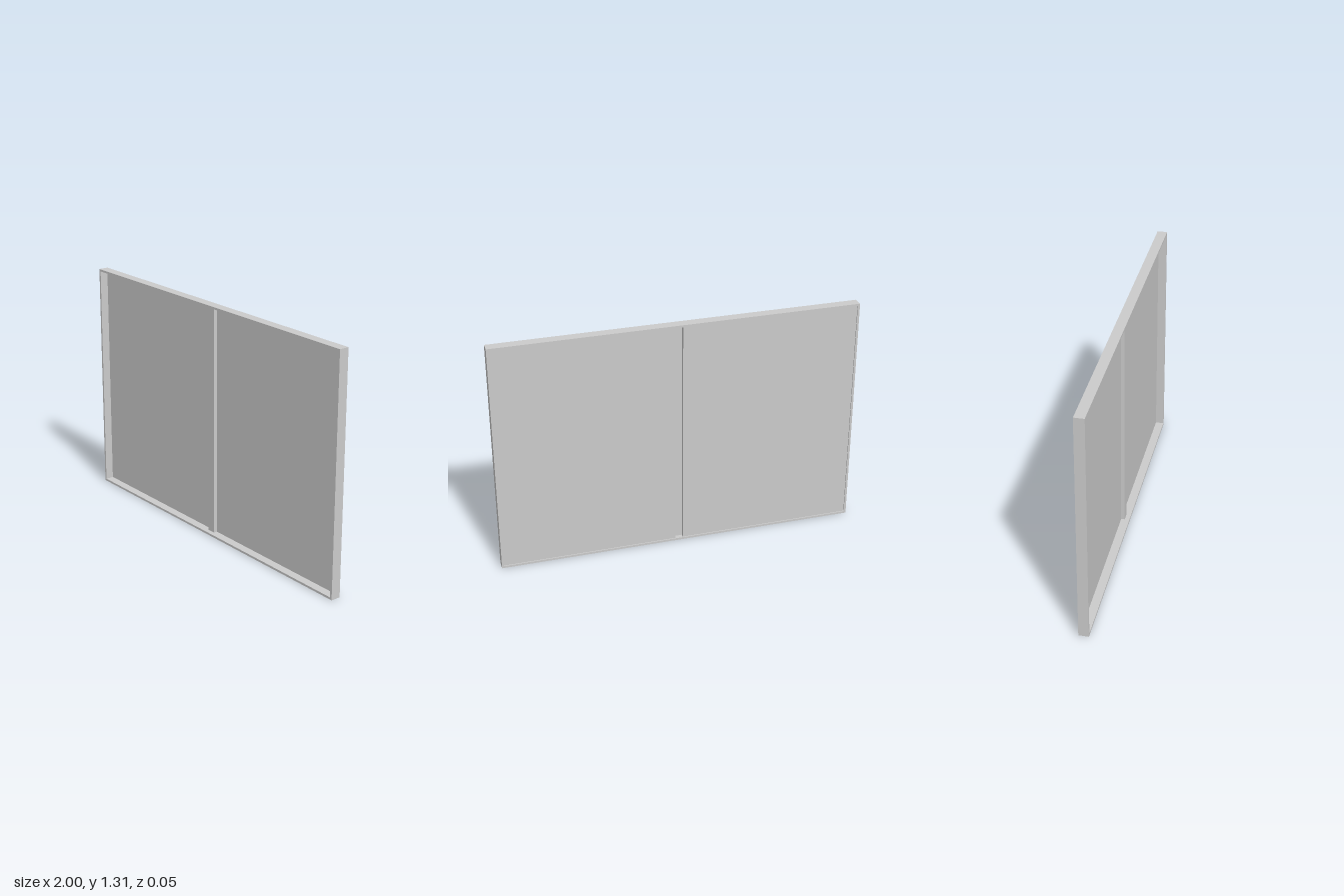
import * as THREE from 'three';

const W = 2, H = 1.31, D = 0.055, T = 0.012;

export function createModel() {
  const model = new THREE.Group();
  const material = new THREE.MeshStandardMaterial({ color: 0xcccccc, side: THREE.DoubleSide });

  const add = (name, geometry) => {
    const mesh = new THREE.Mesh(geometry, material);
    mesh.name = name;
    model.add(mesh);
    return mesh;
  };

  // Outer frame: a rectangle with one large opening
  const outline = new THREE.Shape([
    [-W / 2, 0], [W / 2, 0], [W / 2, H], [-W / 2, H],
  ].map(([x, y]) => new THREE.Vector2(x, y)));
  outline.holes.push(new THREE.Path([
    [-W / 2 + T, T], [-W / 2 + T, H - T], [W / 2 - T, H - T], [W / 2 - T, T],
  ].map(([x, y]) => new THREE.Vector2(x, y))));
  const frame = add('frame', new THREE.ExtrudeGeometry(outline, { depth: D, bevelEnabled: false }));
  frame.position.z = -D / 2;

  // Thin sheet near the back, folded forward into a hollow centre rib.
  // Cross-section is drawn as (x, -z) and extruded upwards.
  const back = 0.022, thick = 0.003, rib = 0.02, half = 0.025, edge = W / 2 - T;
  const front = back - thick;
  const section = new THREE.Shape([
    [-edge, back], [-half + thick, back], [-half + thick, back - rib],
    [half - thick, back - rib], [half - thick, back], [edge, back],
    [edge, front], [half, front], [half, front - rib],
    [-half, front - rib], [-half, front], [-edge, front],
  ].map(([x, y]) => new THREE.Vector2(x, y)));
  const sheet = new THREE.ExtrudeGeometry(section, { depth: H - 2 * T, bevelEnabled: false });
  sheet.rotateX(-Math.PI / 2);
  add('panelWithCentreRib', sheet).position.y = T;

  return model;
}
